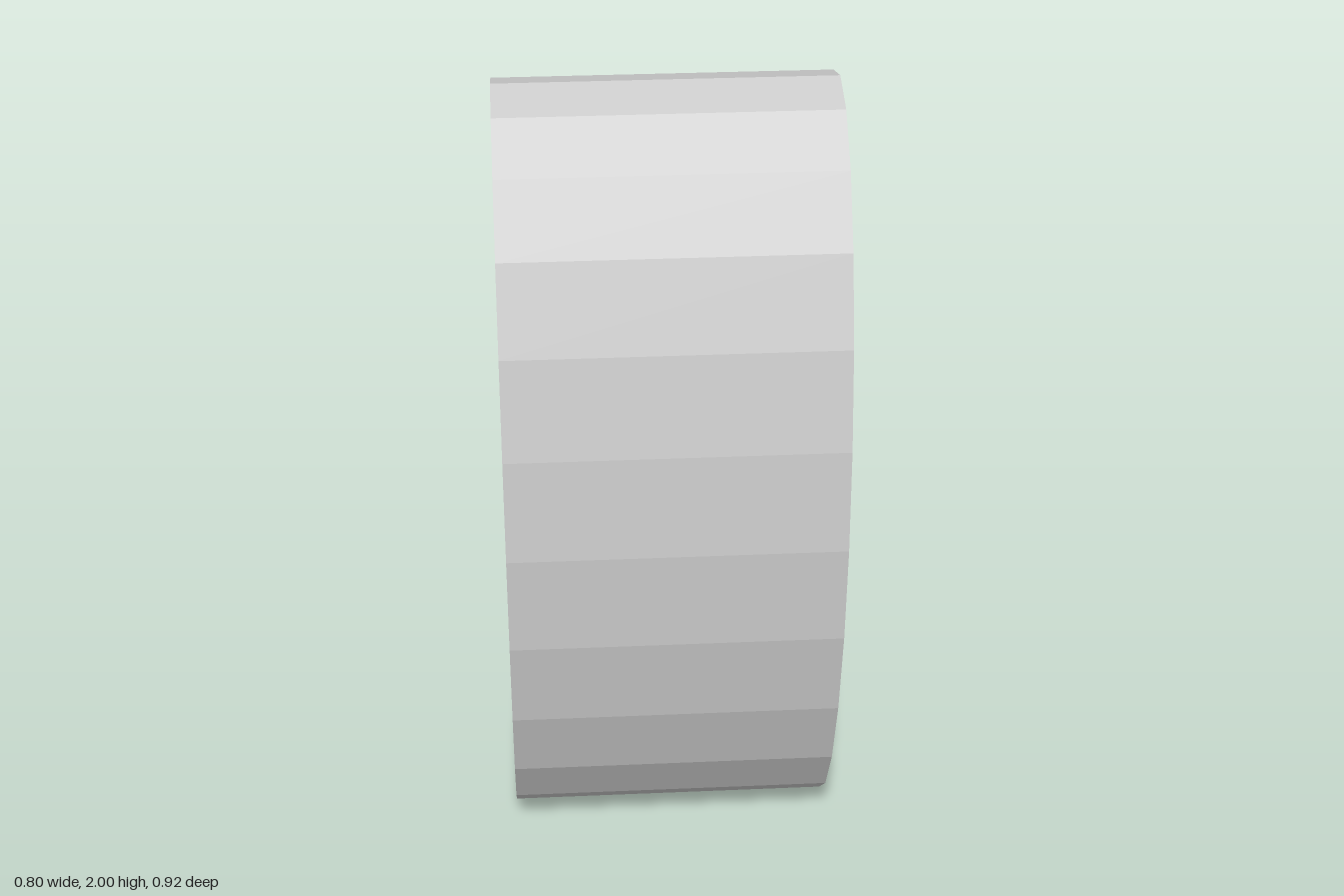
import * as THREE from 'three';

const SIDES = 24;
const ASPECT = 0.46; // depth of the ellipse relative to its height

// Faceted ellipse outline with a corner at the very top
function ellipsePoints(radius) {
  return Array.from({ length: SIDES }, (_, i) => {
    const a = (i / SIDES) * Math.PI * 2;
    return new THREE.Vector2(Math.cos(a) * radius * ASPECT, Math.sin(a) * radius);
  });
}

// Elliptical slab lying along x, optionally with an elliptical hole
function slab(name, radius, width, holeRadius) {
  const shape = new THREE.Shape(ellipsePoints(radius));
  if (holeRadius) shape.holes.push(new THREE.Path(ellipsePoints(holeRadius)));
  const geometry = new THREE.ExtrudeGeometry(shape, { depth: width, bevelEnabled: false });
  geometry.translate(0, 0, -width / 2);
  geometry.rotateY(Math.PI / 2);
  geometry.translate(0, 1, 0);
  const material = new THREE.MeshStandardMaterial({ color: 0xcccccc, flatShading: true });
  const mesh = new THREE.Mesh(geometry, material);
  mesh.name = name;
  return mesh;
}

export function createModel() {
  const model = new THREE.Group();
  model.name = 'wheel';
  // Tyre with an open centre, and a slightly narrower hub set loosely inside it
  model.add(slab('tyre', 1, 0.8, 0.58));
  model.add(slab('hub', 0.567, 0.7));
  return model;
}
